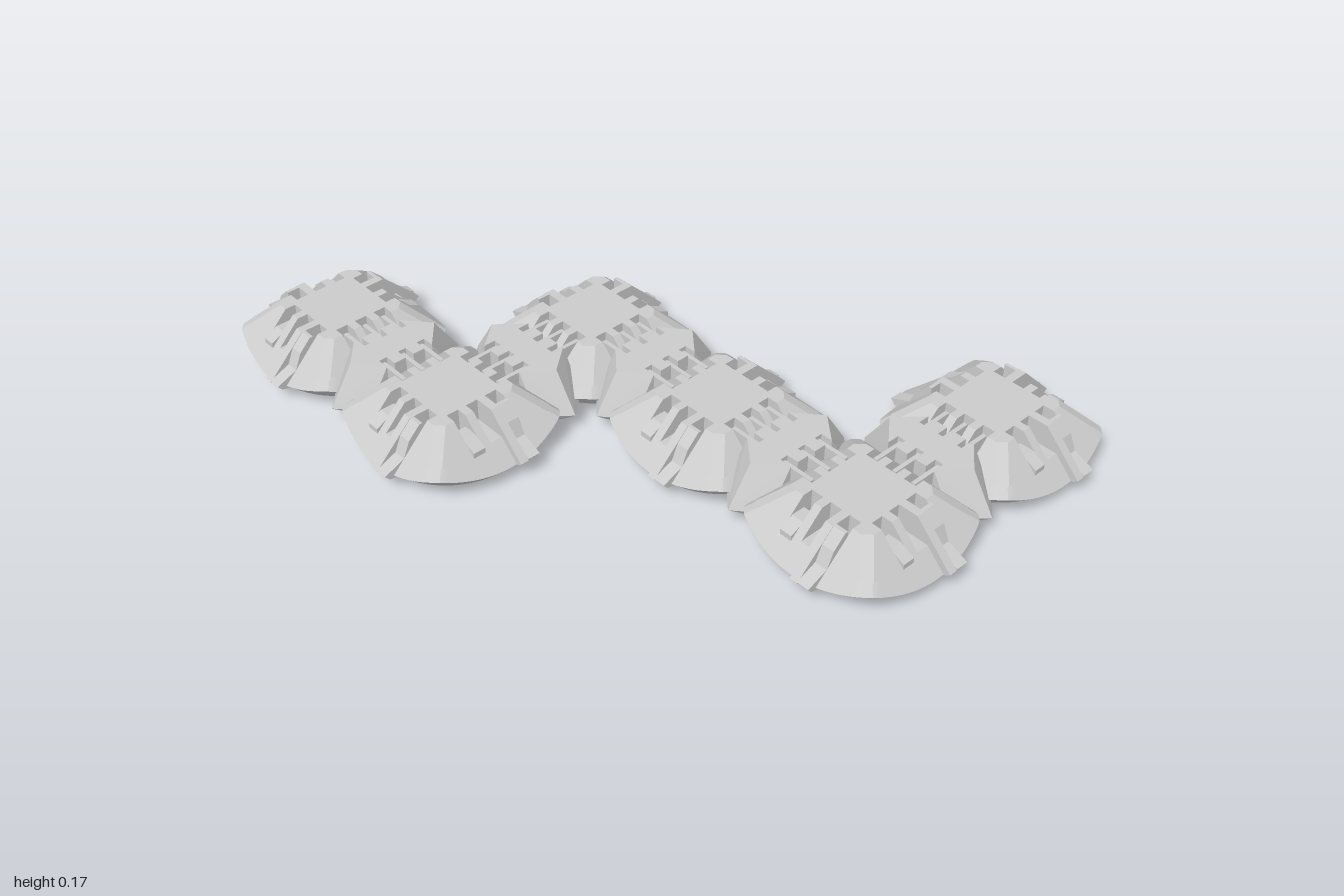
import * as THREE from 'three';
import { toCreasedNormals } from 'three/addons/utils/BufferGeometryUtils.js';
import { ConvexGeometry } from 'three/addons/geometries/ConvexGeometry.js';

const TOP = 0.165, FLOOR = 0.1;      // plateau height, slot floor height
const D = 0.125, CUT = 0.015;        // half size of the plateau, corner chamfer
const BASE_Y = 0.012, BASE_R = 0.213;
const SLOTS = [-0.06, 0, 0.06], SLOT_W = 0.036, SLOT_IN = 0.095;
const PX = 0.49;
// tile centres (x, z) of the unfolded chain
const TILES = [[-PX, -0.735], [-PX, -0.245], [0, -0.245], [0, 0.245], [0, 0.735], [PX, 0.735]];

const mat = new THREE.MeshStandardMaterial({ color: 0xcccccc, flatShading: true });
const smoothMat = new THREE.MeshStandardMaterial({ color: 0xcccccc });

function add(parent, name, geometry, material = mat) {
  const mesh = new THREE.Mesh(geometry, material);
  mesh.name = name;
  parent.add(mesh);
  return mesh;
}

// Lower body: chamfered pyramid meeting a cone, with a square recess and round hole below
function lowerBodyGeometry() {
  const N = 144, pos = [], idx = [], c0 = BASE_R - BASE_Y, H = D + TOP, R2 = Math.SQRT2;
  let rings = 0;
  for (let j = 0; j <= N; j++) {
    const a = (j / N) * Math.PI * 2, c = Math.abs(Math.cos(a)), s = Math.abs(Math.sin(a));
    const m = Math.max(c, s), q = (c + s) / R2;
    const rim = Math.min((H - c0 * m) / (1 + m), (R2 * H - CUT - c0 * q) / (q + R2));
    const profile = [
      [0, FLOOR],
      [Math.min((H - FLOOR) / m, (R2 * (H - FLOOR) - CUT) / q), FLOOR],
      [c0 + rim, rim],
      [BASE_R, BASE_Y],
      [0.145 / m, BASE_Y],
      [0.095 / m, 0.045],
      [0.05, 0.045],
      [0.05, 0.085],
      [0, 0.085],
    ];
    rings = profile.length;
    for (const [r, y] of profile) pos.push(r * Math.cos(a), y, r * Math.sin(a));
  }
  for (let j = 0; j < N; j++) {
    for (let i = 0; i < rings - 1; i++) {
      const a = j * rings + i, b = a + rings;
      if (i > 0) idx.push(a, b, b + 1 - 0);
      if (i < rings - 2) idx.push(a, b + 1, a + 1);
    }
  }
  // close the last fan, whose inner points coincide
  const g = new THREE.BufferGeometry();
  g.setAttribute('position', new THREE.Float32BufferAttribute(pos, 3));
  g.setIndex(idx);
  return toCreasedNormals(g, 0.3);
}

// Upper plate: slotted outline, its outer edges spread at 45 degrees toward the bottom
function upperPlateGeometry() {
  const pts = [], corner = D - CUT * Math.SQRT2;
  for (let k = 0; k < 4; k++) {
    const side = [[D, -corner]];
    for (const t of SLOTS) {
      const a = t - SLOT_W / 2, b = t + SLOT_W / 2;
      side.push([D, a], [SLOT_IN, a], [SLOT_IN, b], [D, b]);
    }
    side.push([D, corner]);
    for (const [x, y] of side) {
      pts.push(new THREE.Vector2(x, y).rotateAround(new THREE.Vector2(), (k * Math.PI) / 2));
    }
  }
  const h = TOP - FLOOR;
  const g = new THREE.ExtrudeGeometry(new THREE.Shape(pts), { depth: h, bevelEnabled: false });
  g.rotateX(-Math.PI / 2).translate(0, FLOOR, 0);
  const p = g.attributes.position;
  const spread = v => (Math.abs(v) > 0.1 ? v + Math.sign(v) * h : v);
  for (let i = 0; i < p.count; i++) {
    if (p.getY(i) < FLOOR + 0.001) {
      p.setX(i, spread(p.getX(i)));
      p.setZ(i, spread(p.getZ(i)));
    }
  }
  g.computeVertexNormals();
  return g;
}

// Bar with a side profile of (distance outward, height), centred on offset t
function barGeometry(profile, t, width) {
  const shape = new THREE.Shape(profile.map(([d, y]) => new THREE.Vector2(d, y)));
  const g = new THREE.ExtrudeGeometry(shape, { depth: width, bevelEnabled: false });
  return g.rotateY(-Math.PI / 2).translate(t + width / 2, 0, 0);
}

// Convex block from points mirrored across x (and across z when asked)
function convex(points, mirrorZ) {
  const out = [];
  for (const [x, y, z] of points) {
    for (const sx of [-1, 1]) {
      for (const sz of mirrorZ ? [-1, 1] : [1]) out.push(new THREE.Vector3(sx * x, y, sz * z));
    }
  }
  return new ConvexGeometry(out);
}

// Block of the hinge cross-section between z0 and z1
function hingeSlice(z0, z1, w) {
  const section = [[w, TOP], [w, 0.05], [Math.min(w, 0.06), 0.02], [0.035, 0]];
  return convex(section.flatMap(([x, y]) => [[x, y, z0], [x, y, z1]]), false);
}

function makeHinge() {
  const hinge = new THREE.Group();
  hinge.name = 'hinge';
  add(hinge, 'hingeCore', hingeSlice(-0.08, 0.08, 0.04));
  // pointed ends with three facets
  const end = convex([
    [0.075, TOP, 0.072], [0, TOP, 0.135],
    [0.075, 0.055, 0.14], [0, 0.055, 0.207],
    [0.055, 0.02, 0.13], [0.035, 0, 0.072], [0, 0.01, 0.15],
    [0.075, 0.05, 0.072], [0.06, 0.02, 0.072],
  ], false);
  for (const s of [0, Math.PI]) add(hinge, 'hingeEnd', end).rotation.y = s;
  for (const t of [-0.03, 0.03]) add(hinge, 'hingeRib', hingeSlice(t - 0.018, t + 0.018, 0.075));
  // thin fingers reaching into the slots of both tiles
  for (const t of SLOTS) {
    add(hinge, 'hingeFinger', new THREE.BoxGeometry(0.27, 0.05, 0.012)).position.set(0, 0.128, t);
  }
  return hinge;
}

export function createModel() {
  const model = new THREE.Group();
  model.name = 'foldingTileChain';
  const lower = lowerBodyGeometry(), upper = upperPlateGeometry();
  const pin = barGeometry([[0.14, 0.08], [0.23, 0.04], [0.252, 0.045], [0.265, 0.06],
    [0.205, 0.085], [0.185, 0.13], [0.15, TOP], [0.14, TOP]], 0.06, SLOT_W);
  const ramp = barGeometry([[0.1, 0.08], [0.23, 0.04], [0.25, 0.045], [0.264, 0.055],
    [0.152, TOP], [0.1, TOP]], 0.03, 0.024);
  const stop = barGeometry([[0.12, 0.08], [0.2, 0.08], [0.2, 0.105], [0.16, 0.125], [0.12, 0.125]],
    -0.06, SLOT_W);

  TILES.forEach(([x, z], n) => {
    const tile = new THREE.Group();
    tile.name = 'tile';
    tile.position.set(x, 0, z);
    add(tile, 'lowerBody', lower, smoothMat);
    add(tile, 'upperPlate', upper);
    // clips on every side without a hinge
    for (let k = 0; k < 4; k++) {
      const a = (k * Math.PI) / 2, nx = Math.round(Math.sin(a)), nz = Math.round(Math.cos(a));
      const joined = TILES.some(([u, v]) => Math.hypot(u - x - nx * PX, v - z - nz * PX) < 0.05);
      if (joined) continue;
      const side = new THREE.Group();
      side.name = 'clipSide';
      side.rotation.y = a;
      add(side, 'clipPin', pin);
      add(side, 'clipRamp', ramp);
      add(side, 'clipStop', stop);
      tile.add(side);
    }
    model.add(tile);

    // hinge to the next tile
    const next = TILES[n + 1];
    if (next) {
      const hinge = makeHinge();
      hinge.position.set((x + next[0]) / 2, 0, (z + next[1]) / 2);
      if (Math.abs(next[0] - x) < 0.01) hinge.rotation.y = Math.PI / 2;
      model.add(hinge);
    }
  });
  return model;
}
